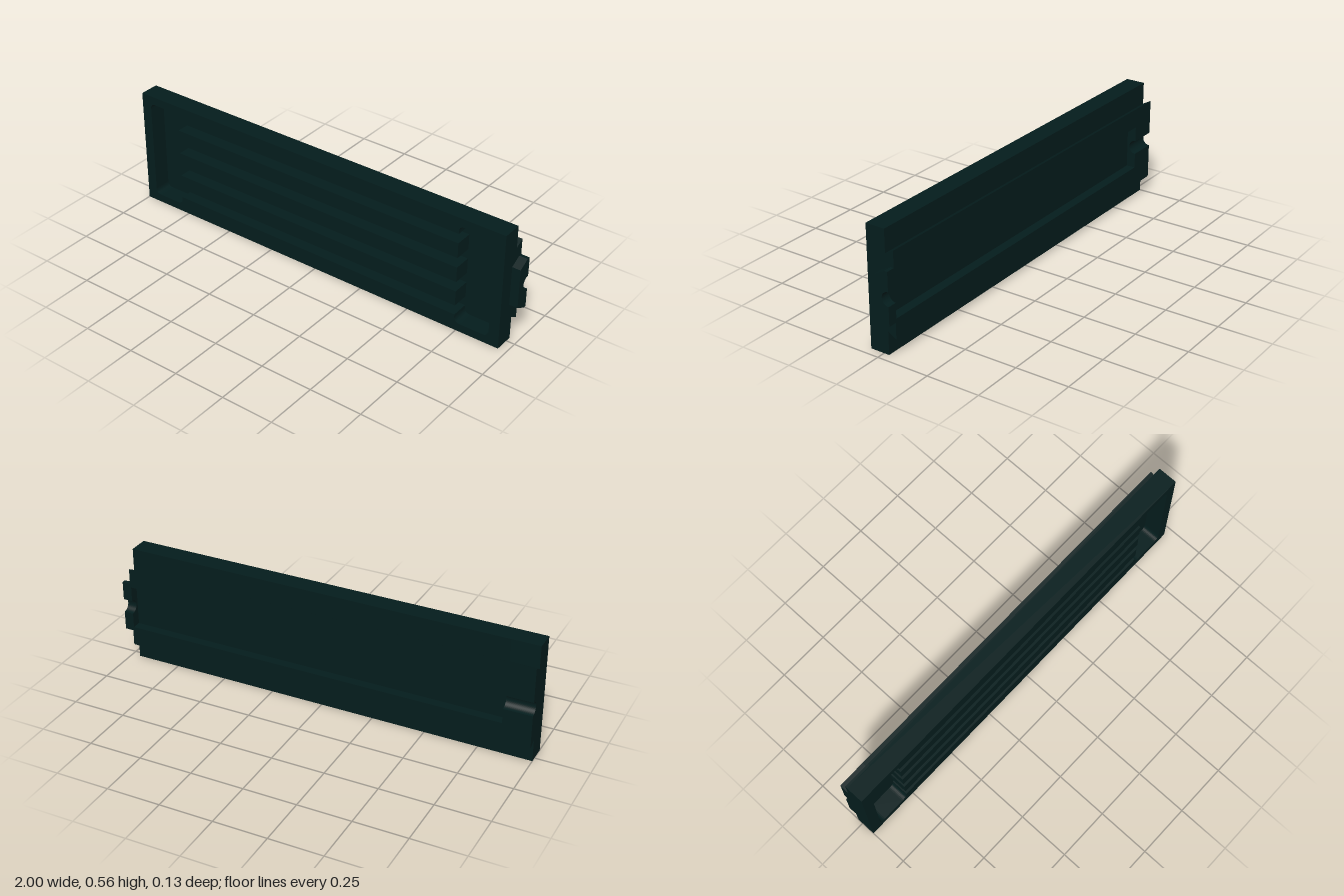
import * as THREE from 'three';

const HEIGHT = 0.564, MID = HEIGHT / 2;
const X0 = -1, X1 = 0.96;            // plate ends
const FRONT = 0.067, FLOOR = -0.016; // front face and pocket floor depth
const BACK = 0.026, RAIL = 0.067;    // plate back and rail back, measured towards -z
const GROOVE = 0.033;

export function createModel() {
  const group = new THREE.Group();
  const darkGreen = new THREE.MeshStandardMaterial({ color: 0x041d1d });

  const add = (name, geometry) => {
    const mesh = new THREE.Mesh(geometry, darkGreen);
    mesh.name = name;
    group.add(mesh);
    return mesh;
  };

  // Sweep a cross-section along x; section points are (-z, y)
  const sweep = (name, shape, from, to) => {
    const g = new THREE.ExtrudeGeometry(shape, { depth: to - from, bevelEnabled: false, curveSegments: 20 });
    g.rotateY(Math.PI / 2).translate(from, 0, 0);
    return add(name, g);
  };

  // Half-round groove cut into the back edge of a section, drawn upward
  const cutGroove = (s) => {
    s.lineTo(RAIL, MID - GROOVE);
    s.absarc(RAIL, MID, GROOVE, -Math.PI / 2, Math.PI / 2, true);
  };

  // Shallow straight channel cut into the back edge
  const cutChannel = (s) => {
    for (const [u, y] of [[RAIL, 0.178], [0.024, 0.178], [0.024, 0.386], [RAIL, 0.386]]) s.lineTo(u, y);
  };

  // Back sheet with a flared dovetail rail
  const railSection = (cut) => {
    const s = new THREE.Shape();
    s.moveTo(-FLOOR, 0);
    s.lineTo(BACK, 0);
    s.lineTo(BACK, 0.108);
    s.lineTo(RAIL, 0.085);
    cut(s);
    s.lineTo(RAIL, 0.48);
    s.lineTo(BACK, 0.457);
    s.lineTo(BACK, HEIGHT);
    s.lineTo(-FLOOR, HEIGHT);
    s.closePath();
    return s;
  };
  sweep('channelRail', railSection(cutChannel), -0.868, X1);
  sweep('groovedRailEnd', railSection(cutGroove), X0, -0.868);

  // Connecting tab with tapered sides on the end
  const tab = new THREE.Shape();
  tab.moveTo(0, 0.188);
  tab.lineTo(0.052, 0.16);
  tab.lineTo(RAIL, 0.16);
  cutGroove(tab);
  tab.lineTo(RAIL, 0.405);
  tab.lineTo(0.052, 0.405);
  tab.lineTo(0, 0.377);
  tab.closePath();
  sweep('endTab', tab, 0.955, 1);

  // Front frame with a pocket at each end joined by a wide recess
  const frame = new THREE.Shape();
  frame.moveTo(X0, 0);
  frame.lineTo(X1, 0);
  frame.lineTo(X1, HEIGHT);
  frame.lineTo(X0, HEIGHT);
  frame.closePath();

  const L = -0.95, R = 0.91, l = -0.785, r = 0.74;
  const low = 0.039, high = HEIGHT - low, step = 0.078, stepHigh = HEIGHT - step;
  const c = 0.028;
  const p = new THREE.Path();
  p.moveTo(L, low + c);
  p.quadraticCurveTo(L, low, L + c, low);
  p.lineTo(l - c, low);
  p.quadraticCurveTo(l, low, l, low + c);
  p.lineTo(l, step);
  p.lineTo(r, step);
  p.lineTo(r, low + c);
  p.quadraticCurveTo(r, low, r + c, low);
  p.lineTo(R - c, low);
  p.quadraticCurveTo(R, low, R, low + c);
  p.lineTo(R, high - c);
  p.quadraticCurveTo(R, high, R - c, high);
  p.lineTo(r + c, high);
  p.quadraticCurveTo(r, high, r, high - c);
  p.lineTo(r, stepHigh);
  p.lineTo(l, stepHigh);
  p.lineTo(l, high - c);
  p.quadraticCurveTo(l, high, l - c, high);
  p.lineTo(L + c, high);
  p.quadraticCurveTo(L, high, L, high - c);
  p.closePath();
  frame.holes.push(p);
  const frameGeometry = new THREE.ExtrudeGeometry(frame, { depth: FRONT - FLOOR, bevelEnabled: false, curveSegments: 8 });
  add('frontFrame', frameGeometry.translate(0, 0, FLOOR));

  // Three long ribs across the recess
  for (const i of [-1, 0, 1]) {
    const rib = add('frontRib', new THREE.BoxGeometry(r - l, 0.073, FRONT - FLOOR + 0.002));
    rib.position.set((l + r) / 2, MID + i * 0.121, (FRONT + FLOOR - 0.002) / 2);
  }

  return group;
}
